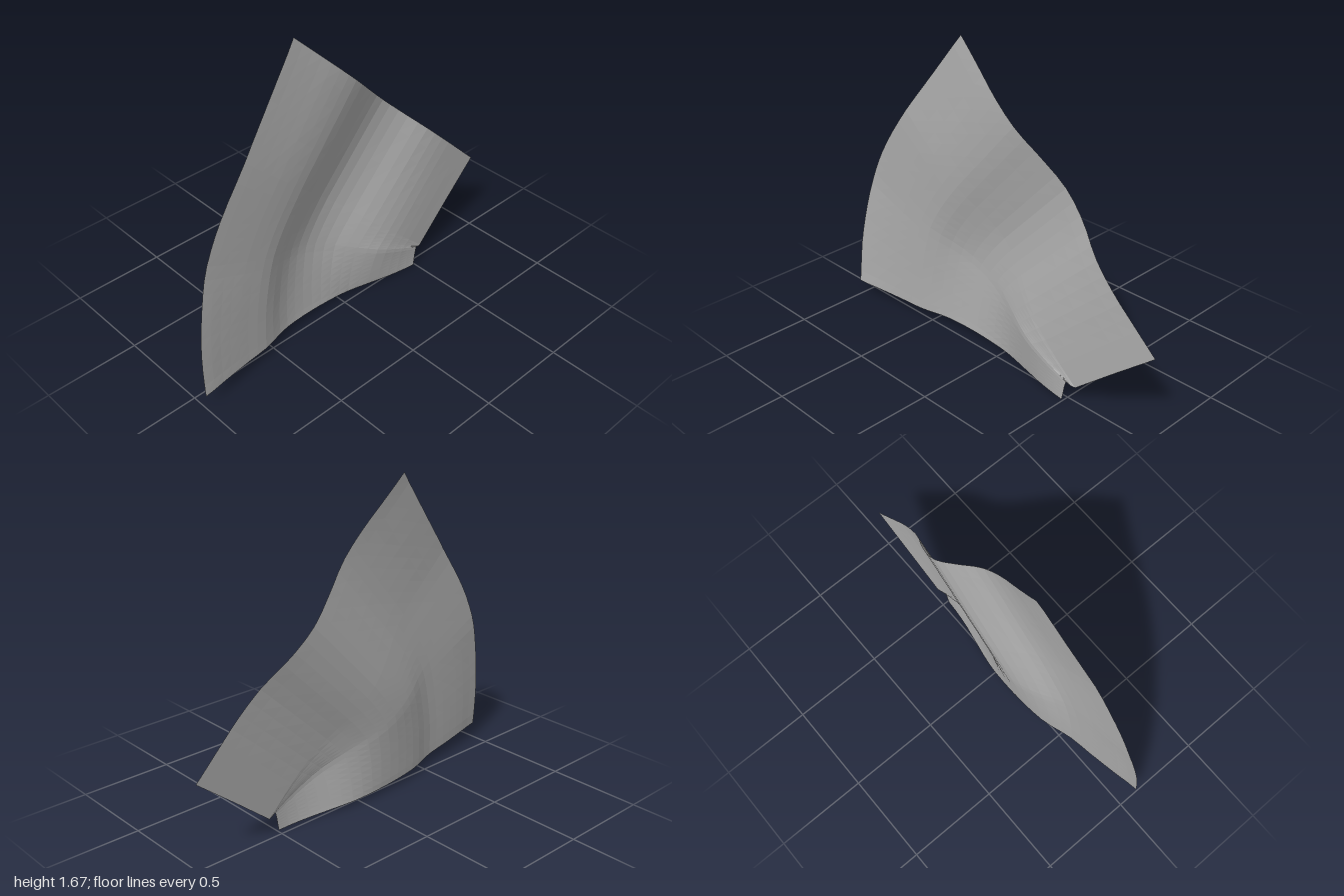
import * as THREE from 'three';

// Ends of the cross-sections, swept round the bend: outer rim and inner rim (x, y)
const outer = [[-1, 0.085], [-0.99, 0.33], [-0.95, 0.57], [-0.89, 0.78],
  [-0.79, 0.98], [-0.63, 1.21], [-0.45, 1.445], [-0.275, 1.675]];
const inner = [[0.49, 0], [0.497, 0.035], [0.503, 0.075], [0.512, 0.112],
  [0.535, 0.1], [0.56, 0.095], [0.775, 0.275], [0.995, 0.455]];

// Relief (z) from the outer rim to the inner rim, at a few stations along the sweep
const stations = [0, 0.4, 0.7, 1];
const relief = [
  [0.1, 0.073, 0.048, 0.025, -0.02, -0.038, -0.042, -0.035, -0.008, 0.02, 0.035],
  [0.042, 0.036, 0.028, 0.01, -0.05, -0.08, -0.068, -0.02, 0.025, 0.036, 0.032],
  [0.028, 0.026, 0.02, 0.0, -0.055, -0.092, -0.072, -0.015, 0.018, 0.024, 0.018],
  [-0.035, -0.025, -0.012, -0.02, -0.065, -0.1, -0.082, -0.03, -0.012, -0.015, -0.02],
];

const ROWS = 21;
const COLS = 24;

// Smooth reading of a profile at s in 0..1
const makeProfile = (zs) =>
  new THREE.SplineCurve(zs.map((z, i) => new THREE.Vector2(i / (zs.length - 1), z)));
const profiles = relief.map(makeProfile);

function heightAt(s, t) {
  let k = 0;
  while (k < stations.length - 2 && t > stations[k + 1]) k++;
  const f = (t - stations[k]) / (stations[k + 1] - stations[k]);
  return THREE.MathUtils.lerp(profiles[k].getPoint(s).y, profiles[k + 1].getPoint(s).y, f);
}

// Straight-line reading of the inner rim keeps its small notch sharp
function innerAt(t) {
  const u = t * (inner.length - 1);
  const i = Math.min(Math.floor(u), inner.length - 2);
  return new THREE.Vector2(...inner[i]).lerp(new THREE.Vector2(...inner[i + 1]), u - i);
}

function bentSheet() {
  const rim = new THREE.SplineCurve(outer.map((p) => new THREE.Vector2(...p)));
  const positions = [];
  const index = [];
  for (let r = 0; r <= ROWS; r++) {
    const t = r / ROWS;
    const a = rim.getPoint(t);
    const b = innerAt(t);
    for (let c = 0; c <= COLS; c++) {
      const s = c / COLS;
      const p = a.clone().lerp(b, s);
      positions.push(p.x, p.y, heightAt(s, t));
      if (r < ROWS && c < COLS) {
        const i = r * (COLS + 1) + c;
        const up = i + COLS + 1;
        index.push(i, i + 1, up + 1, i, up + 1, up);
      }
    }
  }
  const geometry = new THREE.BufferGeometry();
  geometry.setAttribute('position', new THREE.Float32BufferAttribute(positions, 3));
  geometry.setIndex(index);
  // Separate faces for a faceted look
  const faceted = geometry.toNonIndexed();
  faceted.computeVertexNormals();
  return faceted;
}

export function createModel() {
  const group = new THREE.Group();
  group.name = 'bentTerrainSheet';

  const grey = new THREE.MeshStandardMaterial({
    color: 0xaaaaaa, side: THREE.DoubleSide, flatShading: true,
  });
  grey.name = 'grey';

  // One fan-shaped sheet with a valley running round the bend
  const sheet = new THREE.Mesh(bentSheet(), grey);
  sheet.name = 'curvedSheet';
  group.add(sheet);
  return group;
}
